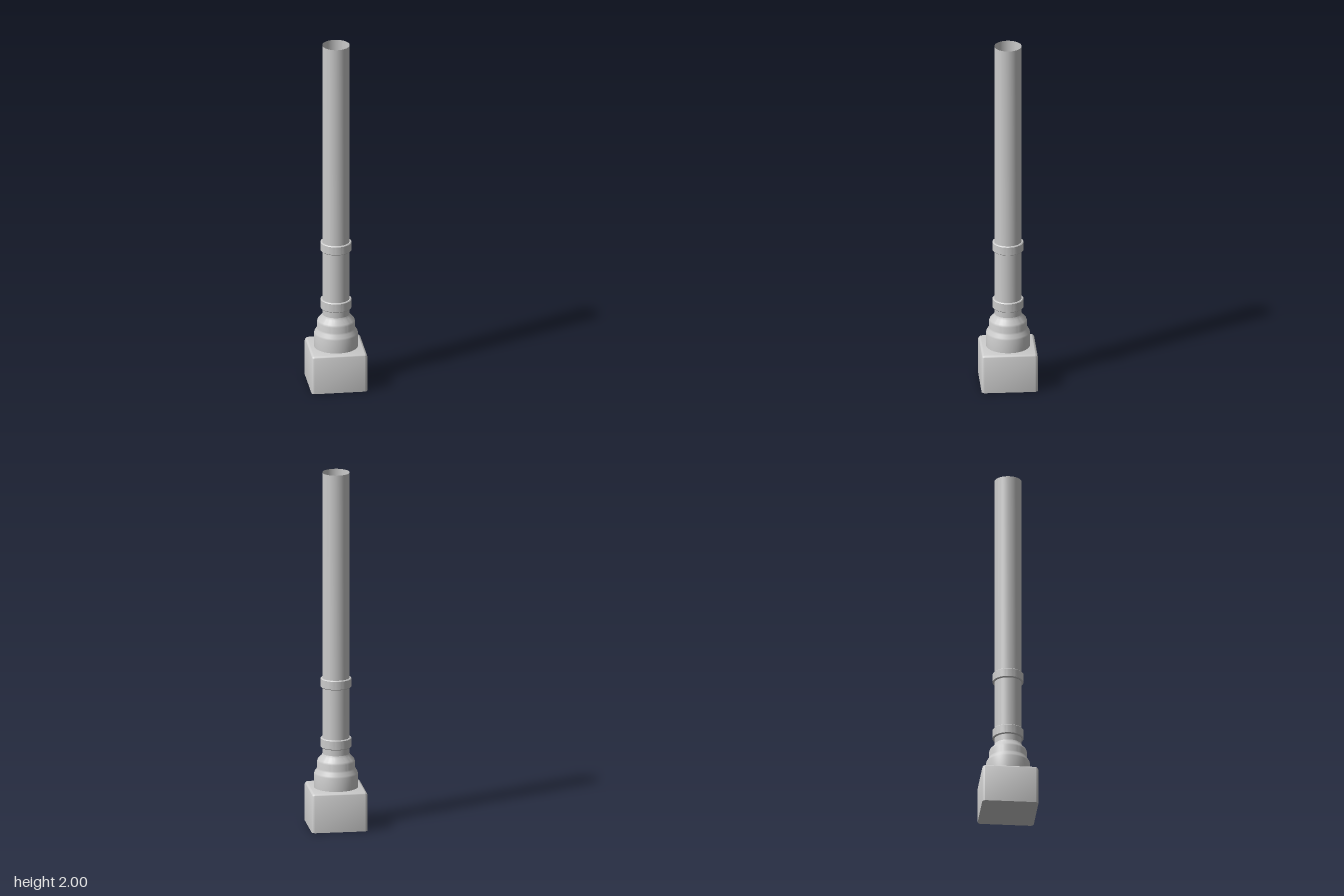
import * as THREE from 'three';
import { RoundedBoxGeometry } from 'three/addons/geometries/RoundedBoxGeometry.js';
import { toCreasedNormals } from 'three/addons/utils/BufferGeometryUtils.js';

const material = new THREE.MeshStandardMaterial({ color: 0xcccccc });
const openMaterial = new THREE.MeshStandardMaterial({ color: 0xcccccc, side: THREE.DoubleSide });

// Turned part from [radius, height] pairs, listed from bottom to top
function turned(name, profile) {
  const points = profile.map(([r, y]) => new THREE.Vector2(r, y));
  const geometry = toCreasedNormals(new THREE.LatheGeometry(points, 64), 0.6);
  const mesh = new THREE.Mesh(geometry, openMaterial);
  mesh.name = name;
  return mesh;
}

// Square plinth: rounded sides and top edges, flat sharp-edged underside
function plinth() {
  const top = 0.22, radius = 0.02, side = 0.309, height = top + radius;
  const geometry = new RoundedBoxGeometry(side, height, side, 4, radius);
  geometry.translate(0, top - height / 2, 0);
  const position = geometry.attributes.position;
  for (let i = 0; i < position.count; i++) {
    position.setY(i, Math.max(0, position.getY(i)));
  }
  const mesh = new THREE.Mesh(toCreasedNormals(geometry, 0.6), material);
  mesh.name = 'plinth';
  mesh.rotation.y = THREE.MathUtils.degToRad(43.3);
  return mesh;
}

// Slim band around the pipe
function collar(name, bottom, top) {
  const inner = 0.075, outer = 0.085, bevel = 0.004;
  return turned(name, [
    [inner, bottom], [outer - bevel, bottom], [outer, bottom + bevel],
    [outer, top - bevel], [outer - bevel, top], [inner, top],
  ]);
}

export function createModel() {
  const group = new THREE.Group();
  group.name = 'pipeOnPlinth';

  group.add(plinth());

  // Stepped socket between plinth and pipe
  group.add(turned('steppedSocket', [
    [0.121, 0.22], [0.121, 0.295], [0.118, 0.305], [0.107, 0.322], [0.104, 0.332],
    [0.104, 0.365], [0.1, 0.377], [0.08, 0.397], [0.075, 0.41],
  ]));

  // Open-topped pipe
  group.add(turned('pipe', [[0.075, 0.41], [0.075, 2]]));

  group.add(collar('lowerCollar', 0.445, 0.5));
  group.add(collar('upperCollar', 0.785, 0.838));

  return group;
}
